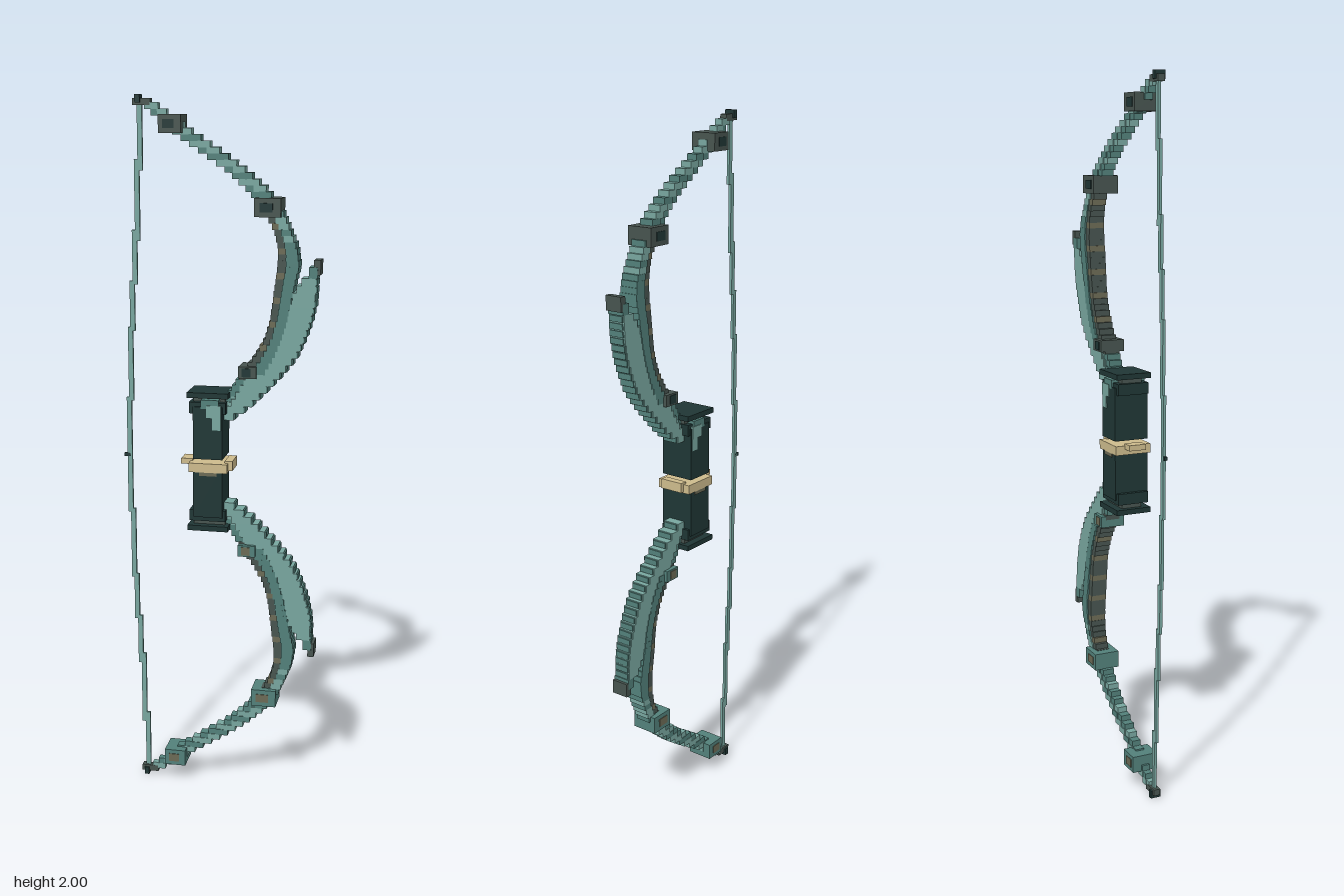
import * as THREE from 'three';

const mat = (name, color) => {
  const m = new THREE.MeshStandardMaterial({ color });
  m.name = name;
  return m;
};

export function createModel() {
  const pale = mat('pale teal', 0x78a69f);
  const teal = mat('mid teal', 0x52807a);
  const grey = mat('grey green', 0x47544f);
  const dark = mat('dark teal', 0x1f3635);
  const gold = mat('pale gold', 0xcdbb8c);
  const brown = mat('olive brown', 0x6b6a55);
  const model = new THREE.Group();
  model.name = 'bow';

  // Box given by its x and y limits and half depth
  const box = (parent, name, material, x0, x1, y0, y1, hz) => {
    const mesh = new THREE.Mesh(new THREE.BoxGeometry(x1 - x0, Math.abs(y1 - y0), hz * 2), material);
    mesh.position.set((x0 + x1) / 2, (y0 + y1) / 2, 0);
    mesh.name = name;
    parent.add(mesh);
    return mesh;
  };
  const group = (name) => {
    const g = new THREE.Group();
    g.name = name;
    model.add(g);
    return g;
  };
  // Linear lookup in rows of [d, a, b, ...]
  const lookup = (rows, d, column) => {
    let i = 1;
    while (i < rows.length - 1 && rows[i][0] < d) i++;
    const a = rows[i - 1], b = rows[i];
    return THREE.MathUtils.lerp(a[column], b[column], (d - a[0]) / (b[0] - a[0]));
  };

  // Limb rows: distance from grip centre, inner x, outer x, half depth
  const limbRows = [
    [0.12, -0.03, 0.02, 0.018], [0.16, 0.0, 0.055, 0.02], [0.2, 0.03, 0.085, 0.022],
    [0.25, 0.062, 0.125, 0.026], [0.3, 0.1, 0.155, 0.027], [0.35, 0.128, 0.175, 0.027],
    [0.4, 0.143, 0.19, 0.027], [0.45, 0.15, 0.2, 0.028], [0.5, 0.156, 0.21, 0.028],
    [0.55, 0.163, 0.222, 0.028], [0.6, 0.163, 0.215, 0.027], [0.65, 0.15, 0.195, 0.025],
    [0.7, 0.12, 0.173, 0.022], [0.75, 0.078, 0.135, 0.02], [0.8, 0.022, 0.078, 0.018],
    [0.85, -0.052, 0.008, 0.017], [0.9, -0.125, -0.07, 0.015], [0.95, -0.185, -0.14, 0.013],
    [0.985, -0.225, -0.19, 0.01],
  ];
  // Blade rows: distance from grip centre, inner x, outer x
  const bladeRows = [
    [0.12, -0.005, 0.03], [0.16, 0.03, 0.085], [0.2, 0.055, 0.125], [0.25, 0.09, 0.172],
    [0.3, 0.13, 0.213], [0.35, 0.16, 0.236], [0.4, 0.18, 0.254], [0.45, 0.195, 0.265],
    [0.49, 0.215, 0.268], [0.52, 0.235, 0.268],
  ];

  for (const s of [1, -1]) {
    const side = s > 0 ? 'upper' : 'lower';
    const Y = (d) => 1 + s * d;

    // Stepped limb with a dark inner edge
    const limb = group(side + 'Limb');
    for (let d = 0.12, i = 0; d < 0.98; d += 0.0165, i++) {
      const m = d + 0.008;
      const a = lookup(limbRows, m, 1), b = lookup(limbRows, m, 2), hz = lookup(limbRows, m, 3);
      const top = Math.min(d + 0.0175, 0.985);
      const split = a + (b - a) * 0.4;
      const inner = d > 0.7 ? (i % 3 ? teal : pale) : i % 4 === 0 ? brown : grey;
      box(limb, 'limbInnerStep', d < 0.22 ? teal : inner, a, split, Y(d), Y(top), hz * 0.85);
      box(limb, 'limbOuterStep', i % 3 === 1 ? teal : d > 0.6 || d < 0.22 ? pale : teal, split, b, Y(d), Y(top), hz);
    }

    // Broad pointed blade on the limb's outer edge
    const blade = group(side + 'Blade');
    for (let d = 0.12; d < 0.515; d += 0.02) {
      const a = lookup(bladeRows, d + 0.01, 1), b = lookup(bladeRows, d + 0.01, 2);
      box(blade, 'bladeStep', pale, a, b, Y(d), Y(d + 0.0205), 0.0255);
      box(blade, 'bladeRim', teal, b - 0.008, b + 0.004, Y(d + 0.002), Y(d + 0.018), 0.022);
    }
    box(blade, 'bladeTip', teal, 0.248, 0.272, Y(0.52), Y(0.55), 0.0255);
    box(blade, 'bladePoint', grey, 0.262, 0.28, Y(0.53), Y(0.57), 0.025);

    // Binding blocks around the limb
    const binding = group(side + 'Bindings');
    const blockMat = s > 0 ? grey : teal;
    for (const [x0, x1, d0, d1, hz] of [
      [0.1, 0.172, 0.682, 0.732, 0.038], [-0.162, -0.1, 0.9, 0.948, 0.038], [0.058, 0.108, 0.242, 0.275, 0.036],
    ]) {
      box(binding, 'bindingBlock', blockMat, x0, x1, Y(d0), Y(d1), hz);
      const w = x1 - x0, m = (d0 + d1) / 2;
      box(binding, 'bindingBand', s > 0 ? dark : brown, x0 + w * 0.2, x1 - w * 0.3, Y(m - 0.012), Y(m + 0.012), hz + 0.002);
    }

    // Nock at the limb end
    const nock = group(side + 'Nock');
    box(nock, 'nockBlock', grey, -0.24, -0.19, Y(0.972), Y(0.99), 0.01);
    box(nock, 'nockKnob', dark, -0.232, -0.218, Y(0.978), Y(1), 0.015);

    // Grip half with its flared cap
    const grip = group(side + 'Grip');
    box(grip, 'gripCore', dark, -0.068, 0.016, Y(0.01), Y(0.16), 0.05);
    box(grip, 'gripCollar', dark, -0.08, 0.024, Y(0.14), Y(0.172), 0.046);
    box(grip, 'gripNeck', grey, -0.07, 0.02, Y(0.172), Y(0.19), 0.03);
    box(grip, 'gripCap', dark, -0.085, 0.032, Y(0.185), Y(0.2), 0.052);
    if (s > 0) {
      box(grip, 'gripOrnament', pale, -0.03, 0.012, 1.13, 1.165, 0.053);
      box(grip, 'gripOrnamentTop', teal, -0.045, 0.005, 1.155, 1.18, 0.051);
      box(grip, 'gripOrnamentTip', pale, -0.012, 0.012, 1.095, 1.13, 0.052);
    }

    // Bowstring half, stepping outward toward the middle
    const string = group(side + 'String');
    for (const [x, d0, d1] of [
      [-0.222, 0.8, 0.98], [-0.232, 0.61, 0.83], [-0.241, 0.49, 0.64],
      [-0.25, 0.36, 0.5], [-0.257, 0.16, 0.37], [-0.264, 0, 0.17],
    ]) box(string, 'stringSegment', pale, x - 0.007, x + 0.007, Y(d0), Y(d1), 0.004);
  }

  // Gold belt round the middle of the grip
  const belt = group('belt');
  box(belt, 'beltRing', gold, -0.08, 0.03, 0.972, 0.998, 0.053);
  box(belt, 'beltFrontStud', gold, 0.02, 0.042, 0.976, 1.004, 0.035);
  box(belt, 'beltRearStud', gold, -0.108, -0.075, 0.988, 1.004, 0.025);
  box(belt, 'beltTrim', brown, -0.05, 0.0, 0.962, 0.975, 0.0525);

  // Small nocking point on the string
  box(model, 'nockingPoint', dark, -0.28, -0.262, 0.996, 1.006, 0.004);
  return model;
}
